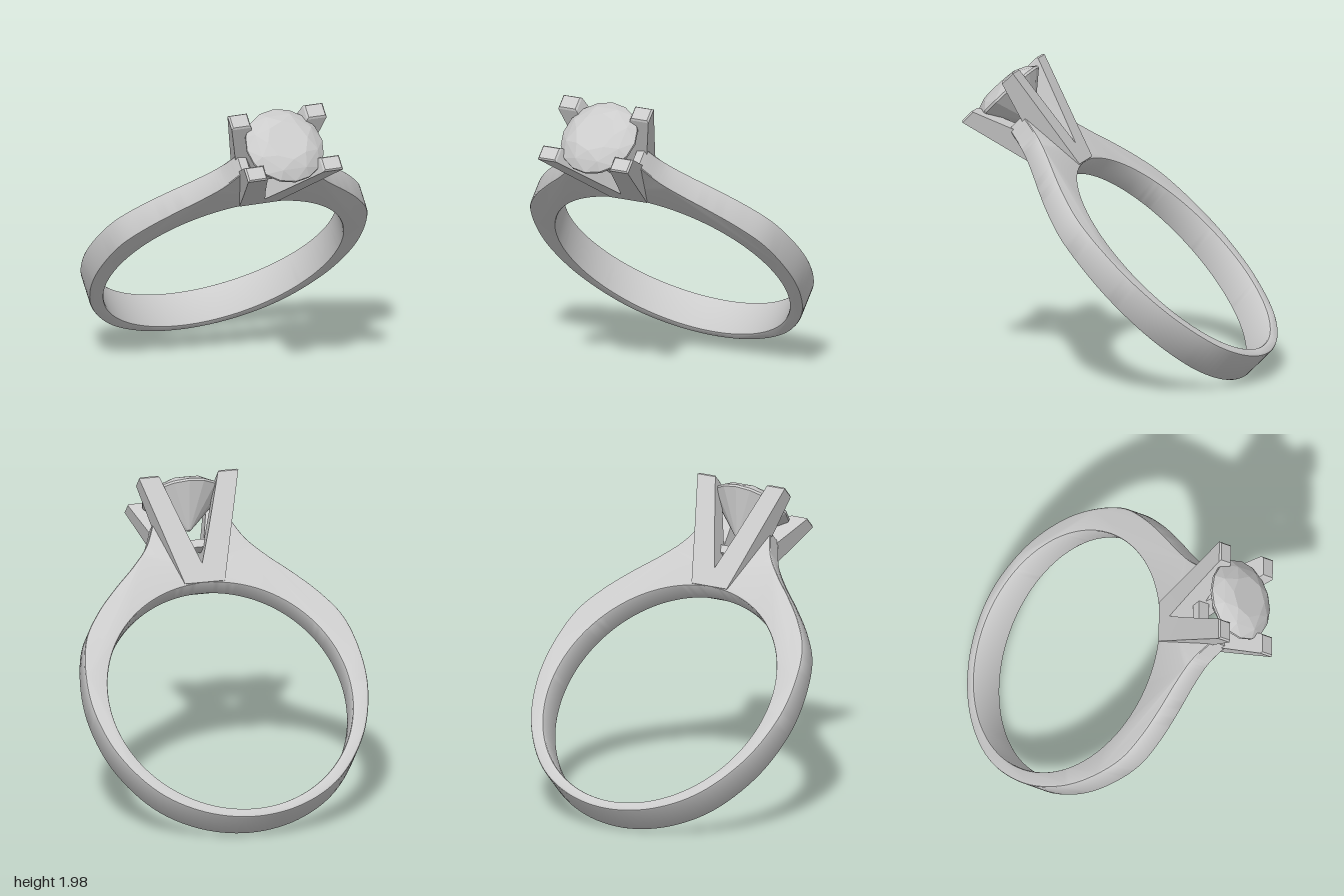
import * as THREE from 'three';
import { toCreasedNormals } from 'three/addons/utils/BufferGeometryUtils.js';
import { ConvexGeometry } from 'three/addons/geometries/ConvexGeometry.js';

const material = new THREE.MeshStandardMaterial({ color: 0xcccccc });

function add(parent, name, geometry) {
  const mesh = new THREE.Mesh(geometry, material);
  mesh.name = name;
  parent.add(mesh);
  return mesh;
}

// Band: right half of the outer outline, mirrored, with an oval finger hole
function bandGeometry() {
  const half = [[0, -0.577], [0.32, -0.52], [0.6, -0.355], [0.82, -0.06], [0.92, 0.25],
    [0.932, 0.52], [0.87, 0.82], [0.75, 1.01], [0.6, 1.175], [0.45, 1.32], [0.335, 1.455], [0.25, 1.63]];
  const full = [...half.slice(1).reverse().map(([x, y]) => [-x, y]), ...half];
  const outline = new THREE.CatmullRomCurve3(full.map(([x, y]) => new THREE.Vector3(x, y, 0)), false, 'centripetal');
  const pts = outline.getPoints(150).map((p) => new THREE.Vector2(p.x, p.y));
  // V-shaped seat between the shoulders
  pts.push(new THREE.Vector2(0.19, 1.62), new THREE.Vector2(0.01, 1.285),
    new THREE.Vector2(-0.01, 1.285), new THREE.Vector2(-0.19, 1.62));
  const shape = new THREE.Shape(pts);
  const hole = new THREE.Path();
  hole.absellipse(0, 0.32, 0.81, 0.832, 0, Math.PI * 2, true);
  shape.holes.push(hole);
  const bevel = 0.014;
  const geo = new THREE.ExtrudeGeometry(shape, {
    depth: 0.248 - 2 * bevel, curveSegments: 96, bevelEnabled: true,
    bevelThickness: bevel, bevelSize: bevel, bevelOffset: -bevel, bevelSegments: 2,
  });
  geo.translate(0, 0, bevel - 0.124);
  // The band narrows towards the shoulders
  const pos = geo.attributes.position;
  for (let i = 0; i < pos.count; i++) {
    pos.setZ(i, pos.getZ(i) * (1 - 0.197 * (pos.getY(i) + 0.577)));
  }
  return toCreasedNormals(geo, 0.6);
}

// Prong: rectangular sections [height, inner x, outer x, inner z, outer z]
function prongGeometry(sx, sz) {
  const sections = [
    [1.156, 0, 0.135, 0, 0.087],
    [1.28, 0, 0.17, 0, 0.114],
    [1.5, 0.078, 0.231, 0, 0.163],
    [1.865, 0.198, 0.335, 0.14, 0.244],
    [1.877, 0.208, 0.325, 0.15, 0.236],
  ];
  const points = [];
  const index = [];
  for (const [y, xi, xo, zi, zo] of sections) {
    for (const [x, z] of [[xi, zi], [xo, zi], [xo, zo], [xi, zo]]) points.push(sx * x, y, sz * z);
  }
  const tri = (a, b, c) => (sx * sz > 0 ? index.push(a, b, c) : index.push(a, c, b));
  const quad = (a, b, c, d) => { tri(a, b, c); tri(a, c, d); };
  const top = (sections.length - 1) * 4;
  for (let s = 0; s < top; s += 4) {
    for (let k = 0; k < 4; k++) {
      const n = (k + 1) % 4;
      quad(s + k, s + 4 + k, s + 4 + n, s + n);
    }
  }
  quad(0, 1, 2, 3);
  quad(top + 3, top + 2, top + 1, top);
  const geo = new THREE.BufferGeometry();
  geo.setAttribute('position', new THREE.Float32BufferAttribute(points, 3));
  geo.setIndex(index);
  return toCreasedNormals(geo, 0.3);
}

// Brilliant-cut stone: rings of [radius, height, count, turn]
function stoneGeometry() {
  const rings = [[0.14, 1.9, 8, 0], [0.212, 1.872, 8, 0.5], [0.265, 1.826, 16, 0],
    [0.265, 1.81, 16, 0], [0.135, 1.69, 8, 0.5], [0.012, 1.575, 8, 0]];
  const points = [];
  for (const [r, y, n, turn] of rings) {
    for (let i = 0; i < n; i++) {
      const a = ((i + turn) / n) * Math.PI * 2;
      points.push(new THREE.Vector3(r * Math.cos(a), y, r * Math.sin(a)));
    }
  }
  return new ConvexGeometry(points);
}

export function createModel() {
  const model = new THREE.Group();
  model.name = 'ring';

  // The whole ring leans forward by 45 degrees
  const ring = new THREE.Group();
  ring.name = 'tiltedRing';
  ring.rotation.x = Math.PI / 4;
  ring.position.set(0, 0.502, -0.502);
  model.add(ring);

  add(ring, 'band', bandGeometry());

  // Four-prong setting
  const setting = new THREE.Group();
  setting.name = 'setting';
  ring.add(setting);
  for (const sx of [1, -1]) {
    for (const sz of [1, -1]) {
      add(setting, `${sz > 0 ? 'front' : 'back'}${sx > 0 ? 'Left' : 'Right'}Prong`, prongGeometry(sx, sz));
    }
  }
  // Bridge under the stone
  add(setting, 'bridge', new THREE.BoxGeometry(0.25, 0.055, 0.092)).position.y = 1.458;

  add(ring, 'stone', stoneGeometry()).position.x = 0.008;
  return model;
}
